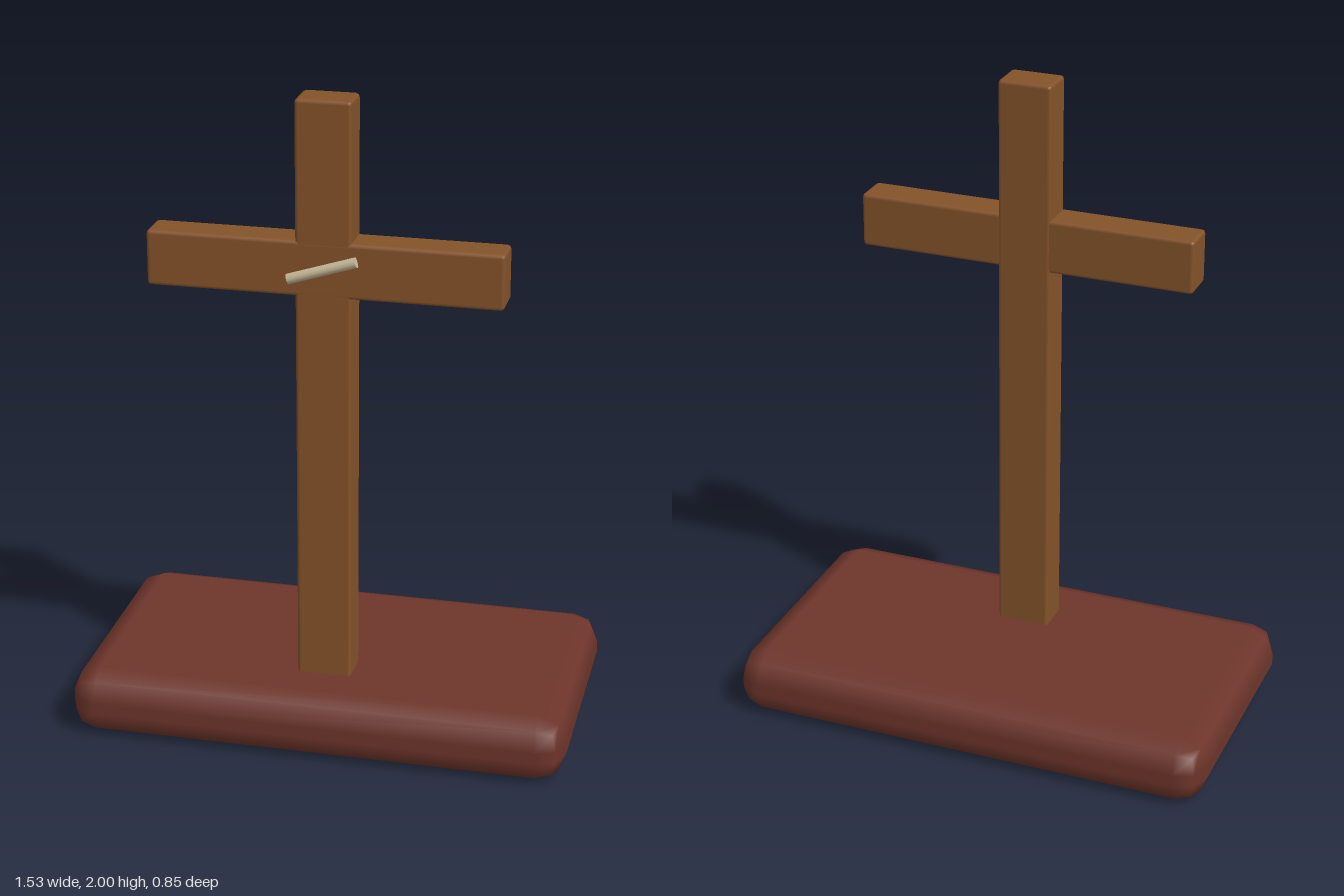
import * as THREE from 'three';
import { RoundedBoxGeometry } from 'three/addons/geometries/RoundedBoxGeometry.js';

function material(name, color) {
  const m = new THREE.MeshStandardMaterial({ color });
  m.name = name;
  return m;
}

export function createModel() {
  const group = new THREE.Group();
  group.name = 'crossOnBase';
  const wood = material('brown wood', 0x85532a);
  const baseColor = material('dark red wood', 0x6e352b);
  const rope = material('pale rope', 0xc8b898);

  function add(name, geometry, mat, x, y, z) {
    const mesh = new THREE.Mesh(geometry, mat);
    mesh.name = name;
    mesh.position.set(x, y, z);
    group.add(mesh);
    return mesh;
  }

  // Thick slab with one-step rounded edges
  add('base', new RoundedBoxGeometry(1.53, 0.204, 0.85, 1, 0.085), baseColor, 0, 0.102, 0);

  // Upright post and crossbar, the bar set a hair forward
  add('post', new RoundedBoxGeometry(0.167, 1.84, 0.118, 1, 0.012), wood, 0, 1.08, 0.17);
  add('crossbar', new RoundedBoxGeometry(1.055, 0.168, 0.116, 1, 0.012), wood, 0, 1.5, 0.172);

  // Slanted binding across the joint
  const binding = add('binding', new THREE.CylinderGeometry(0.016, 0.016, 0.212, 12), rope, 0, 1.504, 0.242);
  binding.rotation.z = 0.31 - Math.PI / 2;

  return group;
}
